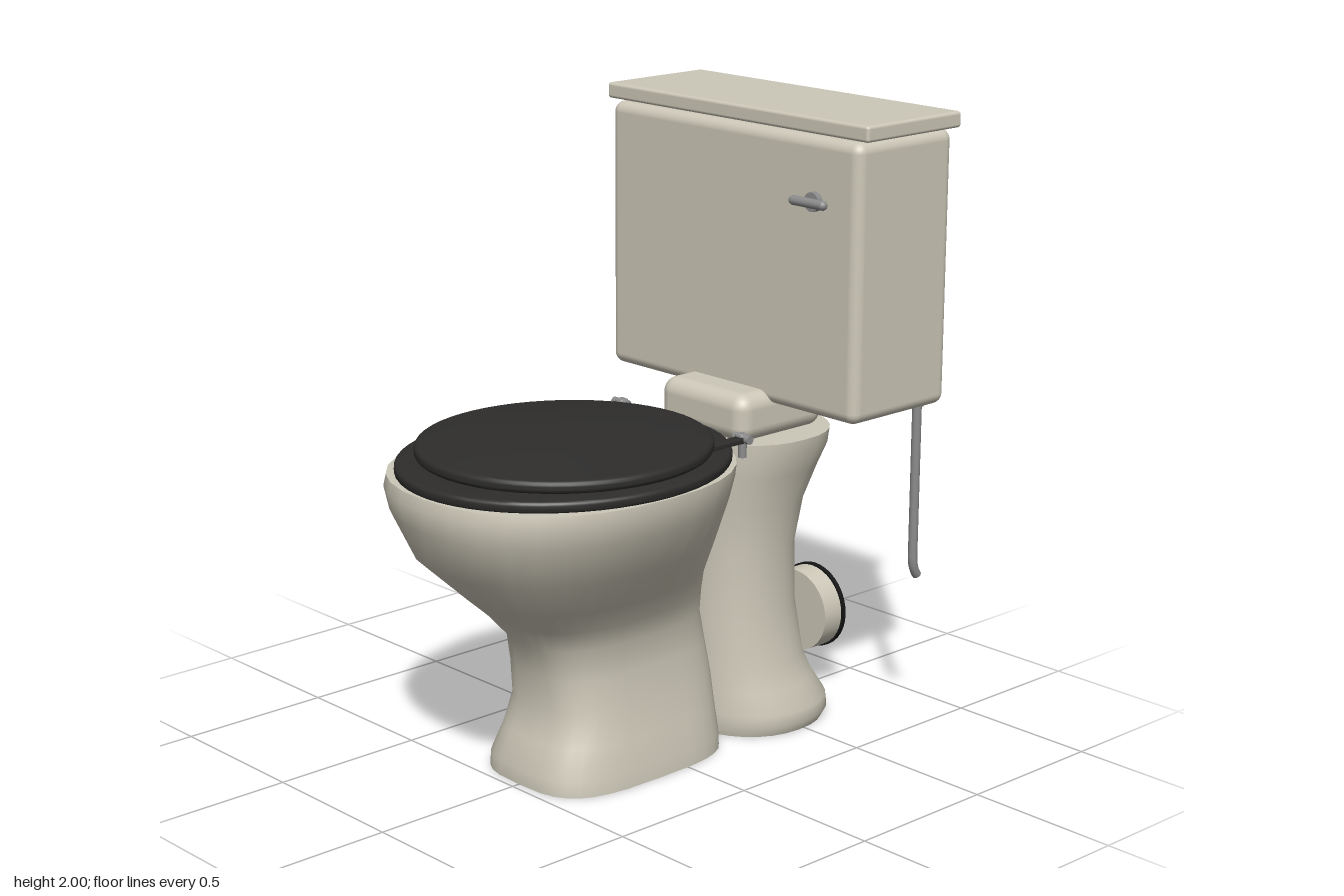
import * as THREE from 'three';
import { toCreasedNormals } from 'three/addons/utils/BufferGeometryUtils.js';
import { RoundedBoxGeometry } from 'three/addons/geometries/RoundedBoxGeometry.js';

const mat = (color) => new THREE.MeshStandardMaterial({ color });

// Skin over superellipse sections [y, zBack, zFront, halfWidth, exponent]
function loft(sections, sides = 32) {
  const pos = [], idx = [];
  for (const [y, zb, zf, w, n] of sections) {
    for (let j = 0; j < sides; j++) {
      const a = (j / sides) * Math.PI * 2;
      const c = Math.cos(a), s = Math.sin(a), e = 2 / n;
      pos.push(
        w * Math.sign(c) * Math.abs(c) ** e, y,
        (zb + zf) / 2 + ((zf - zb) / 2) * Math.sign(s) * Math.abs(s) ** e);
    }
  }
  for (let i = 0; i < sections.length - 1; i++) {
    for (let j = 0; j < sides; j++) {
      const k = (j + 1) % sides, p = i * sides, q = p + sides;
      idx.push(p + j, q + j, p + k, p + k, q + j, q + k);
    }
  }
  const g = new THREE.BufferGeometry();
  g.setAttribute('position', new THREE.Float32BufferAttribute(pos, 3));
  g.setIndex(idx);
  return toCreasedNormals(g, 0.8);
}

// Flat oval plate with rounded edges, lying between y0 and y1
function ovalPlate(rx, rz, zc, y0, y1, bevel, hole) {
  const shape = new THREE.Shape().absellipse(0, 0, rx - bevel, rz - bevel, 0, Math.PI * 2);
  if (hole) shape.holes.push(new THREE.Path().absellipse(0, 0, hole[0], hole[1], 0, Math.PI * 2, true));
  const g = new THREE.ExtrudeGeometry(shape, {
    depth: y1 - y0 - 2 * bevel, bevelSize: bevel, bevelThickness: bevel,
    bevelSegments: 4, curveSegments: 28 });
  g.rotateX(-Math.PI / 2).translate(0, y0 + bevel, zc);
  return toCreasedNormals(g, 0.6);
}

export function createModel() {
  const model = new THREE.Group();
  const ceramic = mat(0xcdc8b8), dark = mat(0x2e2d2c), metal = mat(0x8c8c8c), rubber = mat(0x151515);

  const add = (name, geo, material, x = 0, y = 0, z = 0, parent = model) => {
    const m = new THREE.Mesh(geo, material);
    m.name = name;
    m.position.set(x, y, z);
    parent.add(m);
    return m;
  };
  const box = (w, h, d, r) => new RoundedBoxGeometry(w, h, d, 4, r);
  const rod = (r, len, axis = 'y', sides = 24) => {
    const g = new THREE.CylinderGeometry(r, r, len, sides);
    if (axis === 'x') g.rotateZ(Math.PI / 2);
    if (axis === 'z') g.rotateX(Math.PI / 2);
    return g;
  };

  // Bowl: underside, outer wall, rim, then the inner wall back down to the drain
  add('bowl', loft([
    [0.00, 0.00, 0.24, 0.12, 2],
    [0.00, -0.24, 0.475, 0.255, 3.4],
    [0.05, -0.24, 0.475, 0.25, 3.4],
    [0.14, -0.235, 0.435, 0.23, 3.3],
    [0.24, -0.23, 0.408, 0.212, 3.2],
    [0.35, -0.215, 0.425, 0.203, 3],
    [0.45, -0.20, 0.447, 0.202, 2.8],
    [0.53, -0.195, 0.52, 0.24, 2.6],
    [0.61, -0.19, 0.61, 0.287, 2.5],
    [0.74, -0.20, 0.75, 0.378, 2.4],
    [0.88, -0.222, 0.815, 0.453, 2.3],
    [0.95, -0.235, 0.828, 0.472, 2.3],
    [0.985, -0.24, 0.818, 0.472, 2.3],
    [0.985, -0.10, 0.67, 0.34, 2.2],
    [0.90, -0.10, 0.67, 0.34, 2.2],
    [0.70, -0.08, 0.52, 0.24, 2.1],
    [0.45, 0.00, 0.26, 0.13, 2],
    [0.00, 0.00, 0.24, 0.12, 2],
  ]), ceramic);

  // Rear pedestal that carries the cistern
  add('rearPedestal', loft([
    [0.00, -0.481, -0.479, 0.001, 2],
    [0.00, -0.72, -0.235, 0.27, 2.2],
    [0.03, -0.735, -0.228, 0.284, 2.2],
    [0.07, -0.73, -0.228, 0.28, 2.2],
    [0.14, -0.685, -0.23, 0.25, 2.2],
    [0.22, -0.65, -0.23, 0.226, 2.2],
    [0.40, -0.62, -0.235, 0.206, 2.2],
    [0.60, -0.615, -0.235, 0.206, 2.2],
    [0.75, -0.645, -0.225, 0.225, 2.2],
    [0.86, -0.685, -0.22, 0.255, 2.3],
    [0.93, -0.715, -0.22, 0.278, 2.3],
    [0.975, -0.72, -0.22, 0.283, 2.3],
    [0.975, -0.481, -0.479, 0.001, 2],
  ]), ceramic);
  add('cisternConnector', box(0.38, 0.155, 0.375, 0.05), ceramic, 0, 1.045, -0.468);

  // Cistern
  add('cistern', box(1.09, 0.865, 0.42, 0.035), ceramic, 0, 1.5125, -0.612);
  add('cisternLid', box(1.14, 0.05, 0.415, 0.01), ceramic, 0, 1.975, -0.6175);

  // Flush lever
  const lever = new THREE.Group();
  lever.name = 'flushLever';
  lever.position.set(0.37, 1.75, 0);
  model.add(lever);
  add('leverPlate', rod(0.03, 0.02, 'z'), metal, 0, 0, -0.392, lever);
  add('leverStem', rod(0.012, 0.03, 'z'), metal, 0, 0, -0.378, lever);
  add('leverHandle', new THREE.CapsuleGeometry(0.015, 0.12, 6, 16).rotateZ(Math.PI / 2),
    metal, 0, 0, -0.369, lever);

  // Seat ring and closed cover
  add('seat', ovalPlate(0.472, 0.535, 0.28, 0.985, 1.02, 0.012, [0.3, 0.36]), dark);
  add('seatCover', ovalPlate(0.44, 0.46, 0.28, 1.026, 1.065, 0.016), dark);

  // Seat hinges
  for (const s of [-1, 1]) {
    const hinge = new THREE.Group();
    hinge.name = s > 0 ? 'leftHinge' : 'rightHinge';
    hinge.position.set(s * 0.275, 0, 0);
    model.add(hinge);
    add('hingePin', rod(0.014, 0.066, 'x'), metal, 0, 1.03, -0.2, hinge);
    add('hingeKnuckle', box(0.034, 0.032, 0.034, 0.008), metal, s * -0.003, 1.03, -0.2, hinge);
    add('hingePost', rod(0.013, 0.06), metal, 0, 1.0, -0.2, hinge);
    add('hingeStrap', box(0.036, 0.018, 0.14, 0.005), dark, 0, 1.027, -0.125, hinge);
  }

  // Water supply pipe with its bent end
  const path = new THREE.CurvePath();
  const v = (y, z) => new THREE.Vector3(0.47, y, z);
  path.add(new THREE.LineCurve3(v(1.085, -0.773), v(0.57, -0.773)));
  path.add(new THREE.QuadraticBezierCurve3(v(0.57, -0.773), v(0.53, -0.773), v(0.503, -0.795)));
  add('supplyPipe', new THREE.TubeGeometry(path, 40, 0.015, 14), metal);
  const end = add('supplyPipeEnd', new THREE.CircleGeometry(0.015, 14), metal, 0.47, 0.503, -0.795);
  end.lookAt(0.47, 0.476, -0.817);
  add('supplyPipeCollar', rod(0.021, 0.016), metal, 0.47, 1.074, -0.773);

  // Waste outlet with sealing ring
  add('wasteOutlet', rod(0.137, 0.09, 'z', 36), ceramic, 0, 0.277, -0.774);
  const ring = new THREE.Shape().absarc(0, 0, 0.143, 0, Math.PI * 2);
  ring.holes.push(new THREE.Path().absarc(0, 0, 0.132, 0, Math.PI * 2, true));
  add('outletSeal', toCreasedNormals(new THREE.ExtrudeGeometry(ring,
    { depth: 0.015, bevelEnabled: false, curveSegments: 18 }), 0.6), rubber, 0, 0.277, -0.82);

  return model;
}
